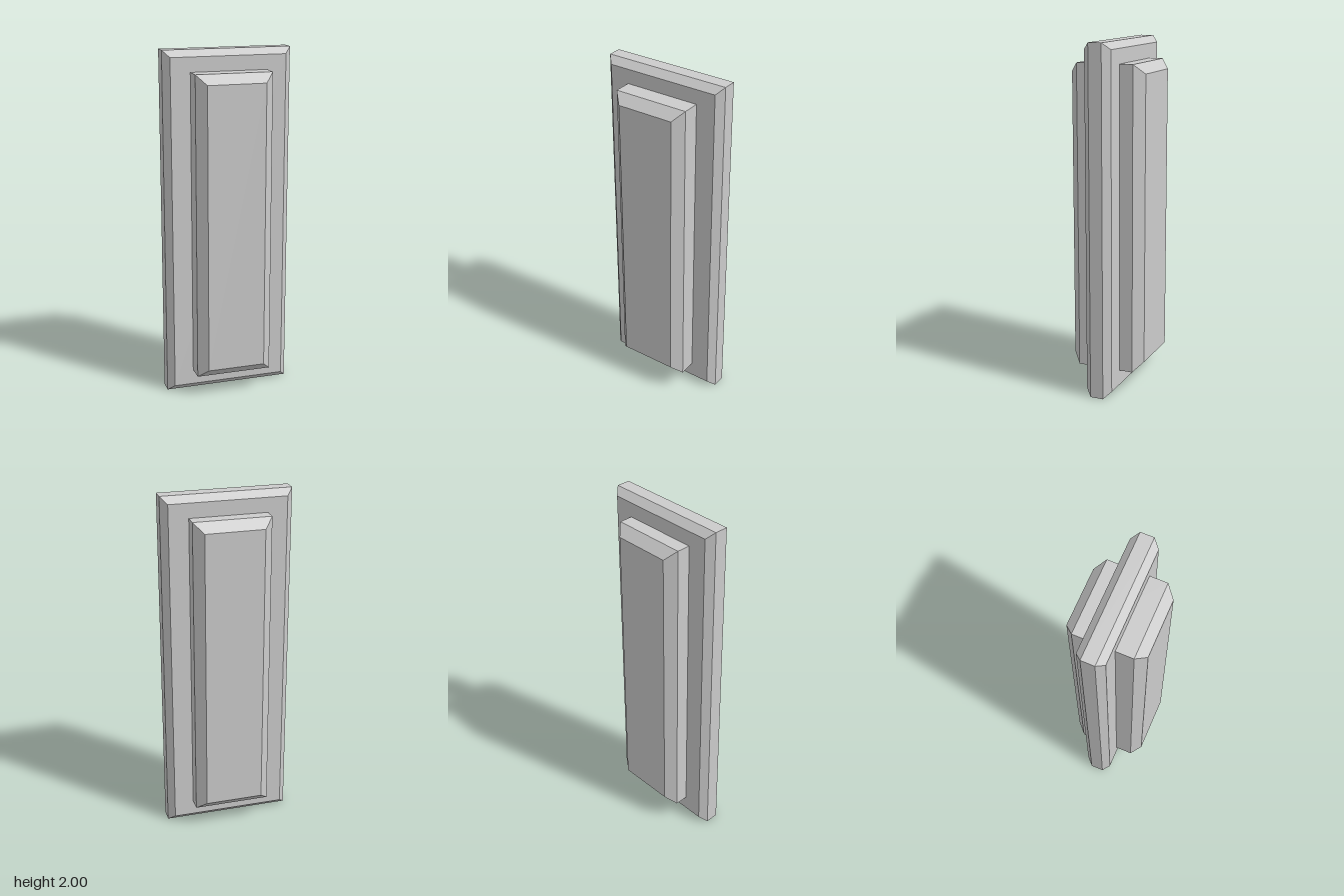
import * as THREE from 'three';

const material = new THREE.MeshStandardMaterial({ color: 0xcccccc, flatShading: true });

// Upright slab with chamfered front and back edges; sizes are the outer extents.
function chamferedSlab(name, width, y0, y1, z0, z1, inset, bevelDepth) {
  const x = width / 2 - inset;
  const shape = new THREE.Shape([
    new THREE.Vector2(-x, y0 + inset),
    new THREE.Vector2(x, y0 + inset),
    new THREE.Vector2(x, y1 - inset),
    new THREE.Vector2(-x, y1 - inset),
  ]);
  const geometry = new THREE.ExtrudeGeometry(shape, {
    depth: z1 - z0 - 2 * bevelDepth,
    bevelEnabled: true,
    bevelSegments: 1,
    bevelSize: inset,
    bevelThickness: bevelDepth,
  });
  geometry.translate(0, 0, z0 + bevelDepth);
  const mesh = new THREE.Mesh(geometry, material);
  mesh.name = name;
  return mesh;
}

export function createModel() {
  const group = new THREE.Group();
  group.name = 'panel';
  // Wide thin outer slab
  group.add(chamferedSlab('outerSlab', 0.737, 0, 2, -0.09, 0.065, 0.037, 0.039));
  // Raised block standing out on both faces
  group.add(chamferedSlab('raisedBlock', 0.44, 0.125, 1.88, -0.221, 0.218, 0.053, 0.053));
  return group;
}
